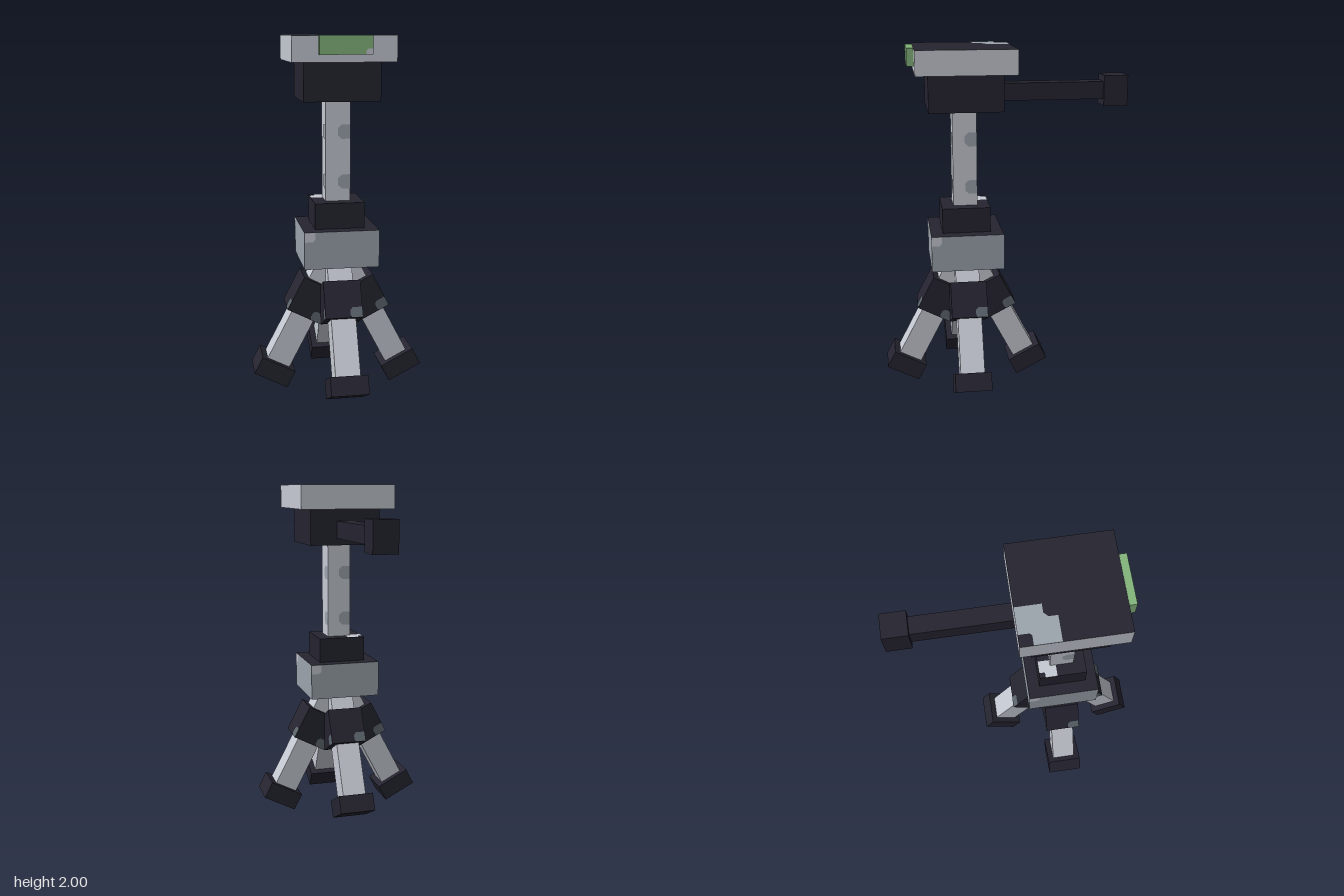
import * as THREE from 'three';

const mat = (name, color) => {
  const m = new THREE.MeshStandardMaterial({ color });
  m.name = name;
  return m;
};

export function createModel() {
  const dark = mat('dark plastic', 0x252430);
  const light = mat('light metal', 0xc6cad3);
  const mid = mat('mid grey metal', 0x9ca4ad);
  const worn = mat('worn grey', 0x5c656d);
  const green = mat('green level', 0x84b67c);

  const model = new THREE.Group();
  model.name = 'tripod';
  const AXIS = 0.23; // z of the central column

  // Box spanning y0..y1, centred on x and z
  function box(parent, name, material, w, y0, y1, d, z = 0) {
    const mesh = new THREE.Mesh(new THREE.BoxGeometry(w, y1 - y0, d), material);
    mesh.position.set(0, (y0 + y1) / 2, z);
    mesh.name = name;
    parent.add(mesh);
    return mesh;
  }

  // Flat painted patch in the local xy plane
  function patch(parent, name, material, points, z) {
    const shape = new THREE.Shape(points.map(([x, y]) => new THREE.Vector2(x, y)));
    const mesh = new THREE.Mesh(new THREE.ShapeGeometry(shape), material);
    mesh.position.z = z + 0.002;
    mesh.name = name;
    parent.add(mesh);
    return mesh;
  }

  // The same patch on all four sides of a square part
  function patchSides(parent, name, material, points, half) {
    for (let i = 0; i < 4; i++) {
      const side = new THREE.Group();
      side.name = name + 'Side';
      side.rotation.y = i * Math.PI / 2;
      patch(side, name, material, points, half);
      parent.add(side);
    }
  }

  // Corner patch on an upward face, scaled to the face's half width
  function patchTop(parent, name, material, half, y) {
    const pts = [[-0.77, 1], [-1, 0.77], [-1, 0.25], [-0.5, 0.25], [-0.5, 0.42],
      [-0.42, 0.5], [-0.25, 0.5], [-0.25, 1], [-0.77, 1]].slice(0, 8);
    pts.splice(1, 1, [-0.77, 0.79], [-0.81, 0.75], [-1, 0.75]);
    const holder = new THREE.Group();
    holder.name = name + 'Top';
    holder.rotation.x = -Math.PI / 2;
    holder.position.y = y;
    patch(holder, name, material, pts.map(([a, b]) => [a * half, b * half]), 0);
    parent.add(holder);
  }

  const capped = side => [side, side, dark, dark, side, side];
  const column = new THREE.Group();
  column.name = 'column';
  column.position.z = AXIS;
  model.add(column);

  // Head plate, mount and level
  box(column, 'headPlate', capped(light), 0.56, 1.86, 1.998, 0.56);
  patchTop(column, 'headPatch', mid, 0.28, 1.998);
  box(column, 'headMount', dark, 0.42, 1.65, 1.86, 0.42);
  box(column, 'level', green, 0.28, 1.9, 2, 0.04, 0.3);
  patch(column, 'levelGlint', light,
    [[0.105, 1.9], [0.14, 1.9], [0.14, 1.932], [0.115, 1.932], [0.105, 1.922]], 0.32);

  // Pan handle
  box(column, 'handle', dark, 0.1, 1.69, 1.79, 0.62, -0.51);
  box(column, 'handleKnob', dark, 0.14, 1.65, 1.826, 0.14, -0.88);

  // Post with worn spots
  box(column, 'post', light, 0.14, 1.0, 1.66, 0.14);
  for (const y of [1.155, 1.435]) {
    patchSides(column, 'postSpot', mid,
      [[0.02, y], [0.07, y], [0.07, y + 0.08], [0.02, y + 0.08], [0, y + 0.06], [0, y + 0.02]], 0.07);
  }

  // Collar and hub
  box(column, 'collar', dark, 0.28, 0.94, 1.085, 0.28);
  patchTop(column, 'collarPatch', light, 0.14, 1.085);
  box(column, 'hub', capped(mid), 0.42, 0.73, 0.94, 0.42);
  patchSides(column, 'hubPatch', light,
    [[-0.21, 0.94], [-0.21, 0.885], [-0.165, 0.885], [-0.15, 0.9], [-0.15, 0.94]], 0.21);

  // Four splayed legs
  for (let i = 0; i < 4; i++) {
    const arm = new THREE.Group();
    arm.name = 'legMount';
    arm.rotation.y = i * Math.PI / 2;
    const leg = new THREE.Group();
    leg.name = 'leg';
    leg.position.set(0, 0.0485, 0.395);
    leg.rotation.x = -27.5 * Math.PI / 180;
    box(leg, 'foot', dark, 0.21, 0, 0.105, 0.21);
    box(leg, 'legTube', light, 0.14, 0.09, 0.85, 0.14);
    box(leg, 'legClamp', dark, 0.21, 0.42, 0.63, 0.21);
    patchSides(leg, 'clampWear', worn,
      [[0.045, 0.42], [0.105, 0.42], [0.105, 0.478], [0.05, 0.478], [0.035, 0.463], [0.035, 0.435]], 0.105);
    arm.add(leg);
    column.add(arm);
  }
  return model;
}
